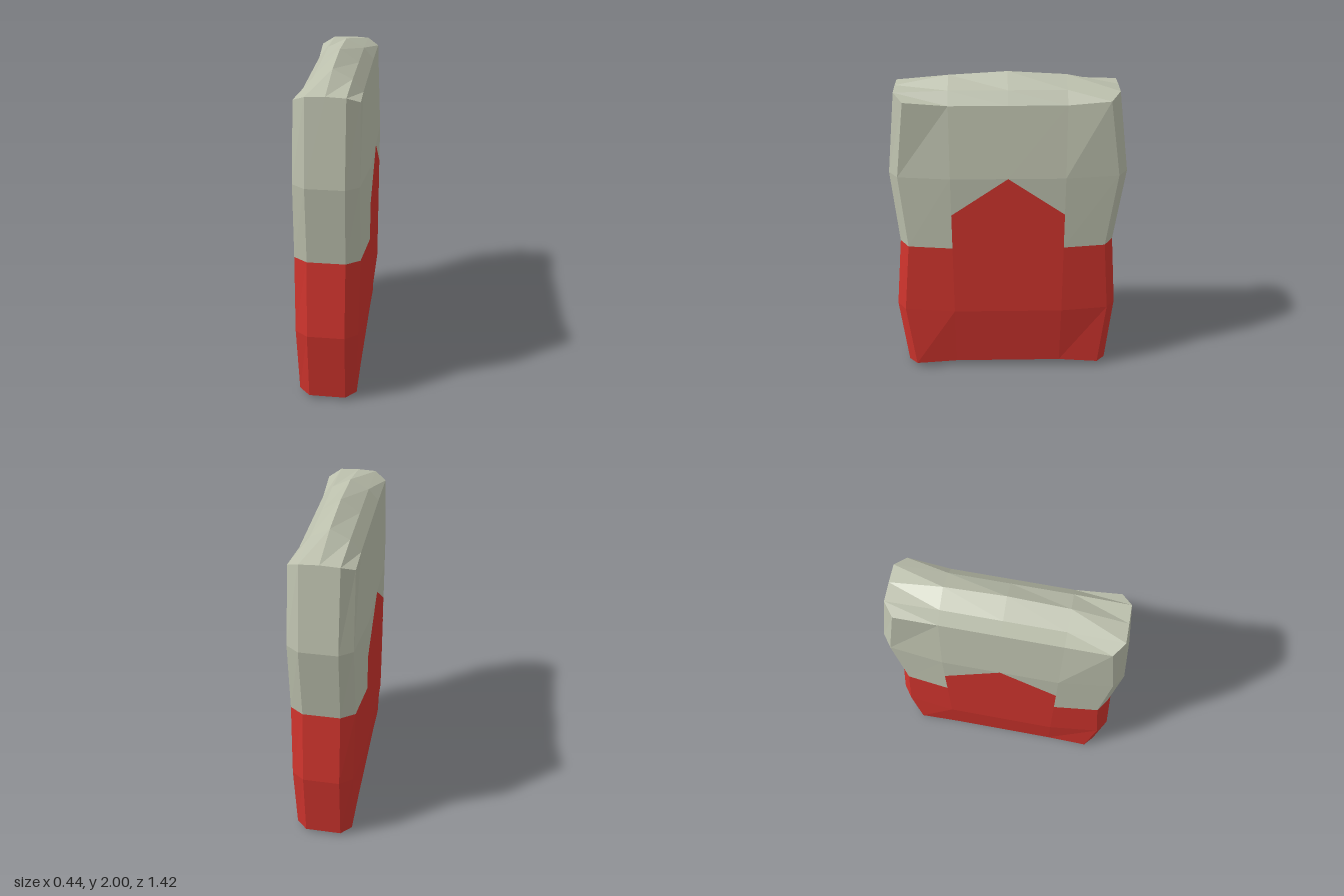
import * as THREE from 'three';

// Values per level, bottom to top
const LEVEL_Y = [0.02, 0.48, 0.95, 1.42, 1.88];
const SIDE_X = [0.175, 0.22, 0.22, 0.22, 0.17];
const CORNER_X = [0.175, 0.185, 0.19, 0.185, 0.18];
const FRONT_Z = [0.66, 0.71, 0.665, 0.705, 0.65];
const BACK_Z = [0.65, 0.69, 0.65, 0.71, 0.64];
// Cap heights: [centre, mid, edge across x][centre, mid, end along z]
const TOP_Y = [[2, 1.98, 1.92], [1.925, 1.925, 1.915], [1.855, 1.855, 1.88]];
const BOTTOM_Y = [[0, 0.005, 0.02], [0.015, 0.018, 0.02], [0.05, 0.05, 0.03]];
const MID_X = 0.11, MID_Z = 0.34;

// Moves a grid point (each coordinate -2..2) onto the slab
function shapePoint(a, b, c) {
  const level = b + 2, i = Math.abs(a), k = Math.abs(c);
  const endZ = (c > 0 ? FRONT_Z : BACK_Z)[level] - (i === 2 ? 0.055 : 0);
  const x = [0, MID_X, (k === 2 ? CORNER_X : SIDE_X)[level]][i];
  const z = [0, MID_Z, endZ][k];
  const y = b === 2 ? TOP_Y[i][k] : b === -2 ? BOTTOM_Y[i][k] : LEVEL_Y[level];
  return [Math.sign(a) * x, y, Math.sign(c) * z];
}

// Collects the box triangles whose grid centre passes the test
function slabPart(test) {
  const p = new THREE.BoxGeometry(4, 4, 4, 4, 4, 4).toNonIndexed().getAttribute('position');
  const out = [];
  for (let t = 0; t < p.count; t += 3) {
    const corners = [0, 1, 2].map((n) =>
      [p.getX(t + n), p.getY(t + n), p.getZ(t + n)].map((v) => Math.round(v)));
    const centre = [0, 1, 2].map((axis) => corners.reduce((s, q) => s + q[axis], 0) / 3);
    if (test(...centre)) corners.forEach((q) => out.push(...shapePoint(...q)));
  }
  const g = new THREE.BufferGeometry();
  g.setAttribute('position', new THREE.Float32BufferAttribute(out, 3));
  g.computeVertexNormals();
  return g;
}

// Flat panel piece on a broad side, outlined as (z, y) points
function sidePanel(points, side) {
  const g = new THREE.ShapeGeometry(new THREE.Shape(points.map(([u, v]) => new THREE.Vector2(u, v))));
  g.rotateY(side * Math.PI / 2);
  g.translate(side * SIDE_X[2], 0, 0);
  return g;
}

export function createModel() {
  const model = new THREE.Group();
  model.name = 'slab';
  const grey = new THREE.MeshStandardMaterial({ color: 0xbcc0ad });
  grey.name = 'paleGrey';
  const red = new THREE.MeshStandardMaterial({ color: 0xcf342d });
  red.name = 'red';

  const add = (name, geometry, material) => {
    const mesh = new THREE.Mesh(geometry, material);
    mesh.name = name;
    model.add(mesh);
  };

  // Main halves; the upper one leaves room for the pointed side panels
  const isPanel = (a, b, c) => Math.abs(a) > 1.99 && b > 0 && b < 1 && Math.abs(c) < 1;
  add('lowerHalf', slabPart((a, b) => b < 0), red);
  add('upperHalf', slabPart((a, b, c) => b > 0 && !isPanel(a, b, c)), grey);

  // Pointed red panels with grey corners on both broad sides
  const low = LEVEL_Y[2], high = LEVEL_Y[3], shoulder = 1.18, w = MID_Z;
  for (const side of [1, -1]) {
    const prefix = side > 0 ? 'left' : 'right';
    add(prefix + 'PointedPanel',
      sidePanel([[-w, low], [w, low], [w, shoulder], [0, high], [-w, shoulder]], side), red);
    add(prefix + 'PanelCornerA', sidePanel([[w, shoulder], [w, high], [0, high]], side), grey);
    add(prefix + 'PanelCornerB', sidePanel([[-w, shoulder], [0, high], [-w, high]], side), grey);
  }
  return model;
}
